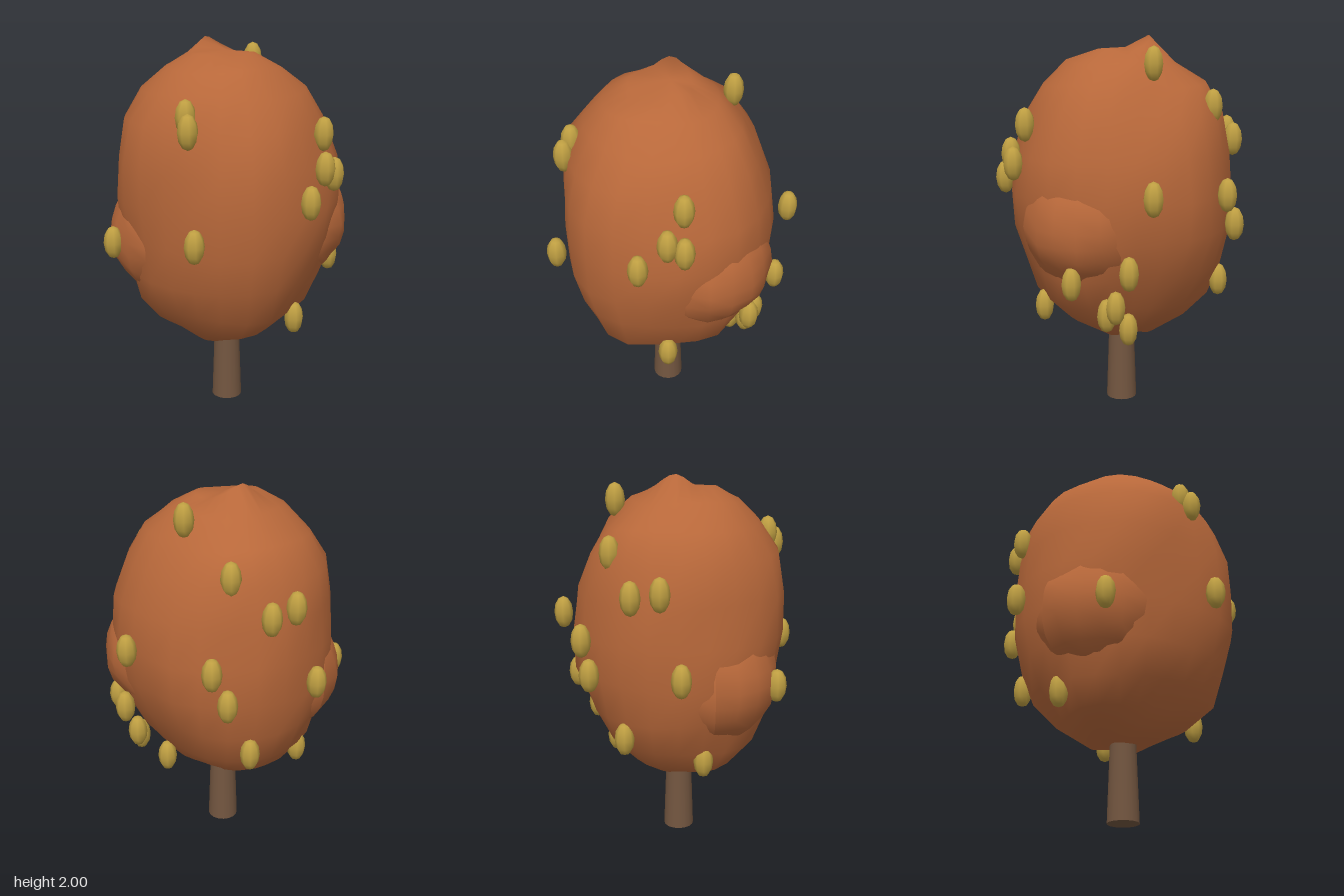
import * as THREE from 'three';

const mat = (color) => new THREE.MeshStandardMaterial({ color });

// Crown cross-sections: height, then radius towards +x, +z, -x, -z
const RINGS = [
  [0.40, 0.13, 0.20, 0.16, 0.10],
  [0.49, 0.31, 0.33, 0.33, 0.24],
  [0.62, 0.43, 0.44, 0.46, 0.35],
  [0.80, 0.52, 0.51, 0.52, 0.45],
  [1.00, 0.58, 0.54, 0.57, 0.51],
  [1.20, 0.60, 0.55, 0.57, 0.53],
  [1.40, 0.58, 0.55, 0.55, 0.51],
  [1.60, 0.50, 0.53, 0.52, 0.44],
  [1.75, 0.42, 0.43, 0.43, 0.35],
  [1.86, 0.29, 0.34, 0.26, 0.23],
  [1.92, 0.15, 0.21, 0.13, 0.10],
];

// Swellings and hollows: x, y, z, amount, spread
const LUMPS = [
  [-0.20, 1.08, -0.52, 0.055, 0.16],
  [-0.38, 1.15, -0.42, -0.045, 0.20],
  [-0.19, 1.28, 0.53, 0.035, 0.16],
  [0.40, 0.95, 0.48, 0.025, 0.20],
  [0.36, 0.58, 0.25, 0.05, 0.14],
  [0.38, 0.60, -0.26, 0.035, 0.14],
  [-0.30, 0.50, 0.20, 0.045, 0.14],
];

// Closed lumpy surface lofted through the rings, with a pole at each end
function crownGeometry() {
  const n = 24, pos = [0, 0.40, 0], idx = [];
  RINGS.forEach(([y, px, pz, nx, nz], j) => {
    for (let i = 0; i < n; i++) {
      const a = (i / n) * Math.PI * 2, c = Math.cos(a), s = Math.sin(a);
      let r = (c > 0 ? px : nx) * c * c + (s > 0 ? pz : nz) * s * s;
      // fuller towards the front corner on +x, leaner on -x
      const corner = s < 0 ? 0.045 : c > 0 ? 0.075 : 0.025;
      r *= 1 + corner * Math.sin(2 * a) ** 2;
      r *= 1 + 0.01 * Math.sin(5 * a + j * 1.7);
      const base = [r * c, y, r * s];
      for (const [lx, ly, lz, amount, spread] of LUMPS) {
        const d = Math.hypot(base[0] - lx, y - ly, base[2] - lz);
        r += amount * Math.exp(-((d / spread) ** 2));
      }
      const x = r * c, z = r * s;
      // small off-centre peak
      const peak = j > 8 ? 0.085 * Math.exp(-((x + 0.13) ** 2 + z * z) / 0.007) : 0;
      pos.push(x, y + peak + 0.01 * Math.sin(3 * a + j * 2.1), z);
    }
  });
  const top = pos.length / 3;
  pos.push(0, 1.935, 0);
  for (let i = 0; i < n; i++) {
    const k = (i + 1) % n;
    idx.push(0, 1 + i, 1 + k);
    for (let j = 0; j < RINGS.length - 1; j++) {
      const a = 1 + j * n + i, b = 1 + j * n + k;
      idx.push(a, a + n, b, b, a + n, b + n);
    }
    idx.push(top, top - n + k, top - n + i);
  }
  const g = new THREE.BufferGeometry();
  g.setAttribute('position', new THREE.Float32BufferAttribute(pos, 3));
  g.setIndex(idx);
  g.computeVertexNormals();
  return g;
}

// Rounded foliage clump with a gently uneven surface
function clumpGeometry(radius) {
  const g = new THREE.SphereGeometry(radius, 18, 14);
  const p = g.attributes.position, v = new THREE.Vector3();
  for (let i = 0; i < p.count; i++) {
    v.fromBufferAttribute(p, i);
    const k = 1 + 0.03 * Math.sin(v.x * 24 + v.y * 17) * Math.cos(v.z * 21);
    p.setXYZ(i, v.x * k, v.y * k, v.z * k);
  }
  g.computeVertexNormals();
  return g;
}

const FRUITS = [
  // front
  [0.09, 1.67, 0.49], [0.13, 1.61, 0.53], [0.21, 1.08, 0.60], [-0.375, 0.97, 0.50],
  // +x side
  [0.555, 1.555, -0.03], [0.61, 1.40, 0.05], [0.62, 1.36, -0.03], [0.61, 1.26, 0.19], [0.45, 0.575, 0.04],
  // back
  [-0.03, 1.86, -0.31], [0.09, 1.24, -0.605], [0.19, 0.87, -0.545], [0.43, 0.80, -0.38],
  [0.22, 0.67, -0.44], [0.25, 0.62, -0.39], [0.11, 0.51, -0.33],
  [-0.35, 1.645, -0.33], [-0.365, 1.21, -0.48], [-0.43, 1.05, -0.44],
  // -x side
  [-0.52, 1.46, -0.23], [-0.555, 1.485, -0.09], [-0.62, 1.08, 0.01], [-0.42, 0.58, 0.13], [-0.43, 0.71, -0.27],
];

export function createModel() {
  const tree = new THREE.Group();
  tree.name = 'fruitTree';
  const add = (name, geometry, material, [x, y, z], parent = tree) => {
    const m = new THREE.Mesh(geometry, material);
    m.name = name;
    m.position.set(x, y, z);
    parent.add(m);
  };

  // Tapered trunk, running up into the crown
  add('trunk', new THREE.CylinderGeometry(0.064, 0.083, 0.56, 16), mat(0x735640), [0.016, 0.28, 0.018]);

  // Foliage
  const leaf = mat(0xb8683a);
  add('crown', crownGeometry(), leaf, [0, 0, 0]);
  add('frontClump', clumpGeometry(0.34), leaf, [-0.22, 0.98, 0.18]);
  add('sideClump', clumpGeometry(0.34), leaf, [0.26, 1.06, -0.16]);

  // Oval fruits
  const fruits = new THREE.Group();
  fruits.name = 'fruits';
  tree.add(fruits);
  const fruitGeo = new THREE.SphereGeometry(0.051, 8, 6).scale(1, 1.72, 1);
  const gold = mat(0xbf9f42);
  FRUITS.forEach((p) => add('fruit', fruitGeo, gold, p, fruits));
  return tree;
}
